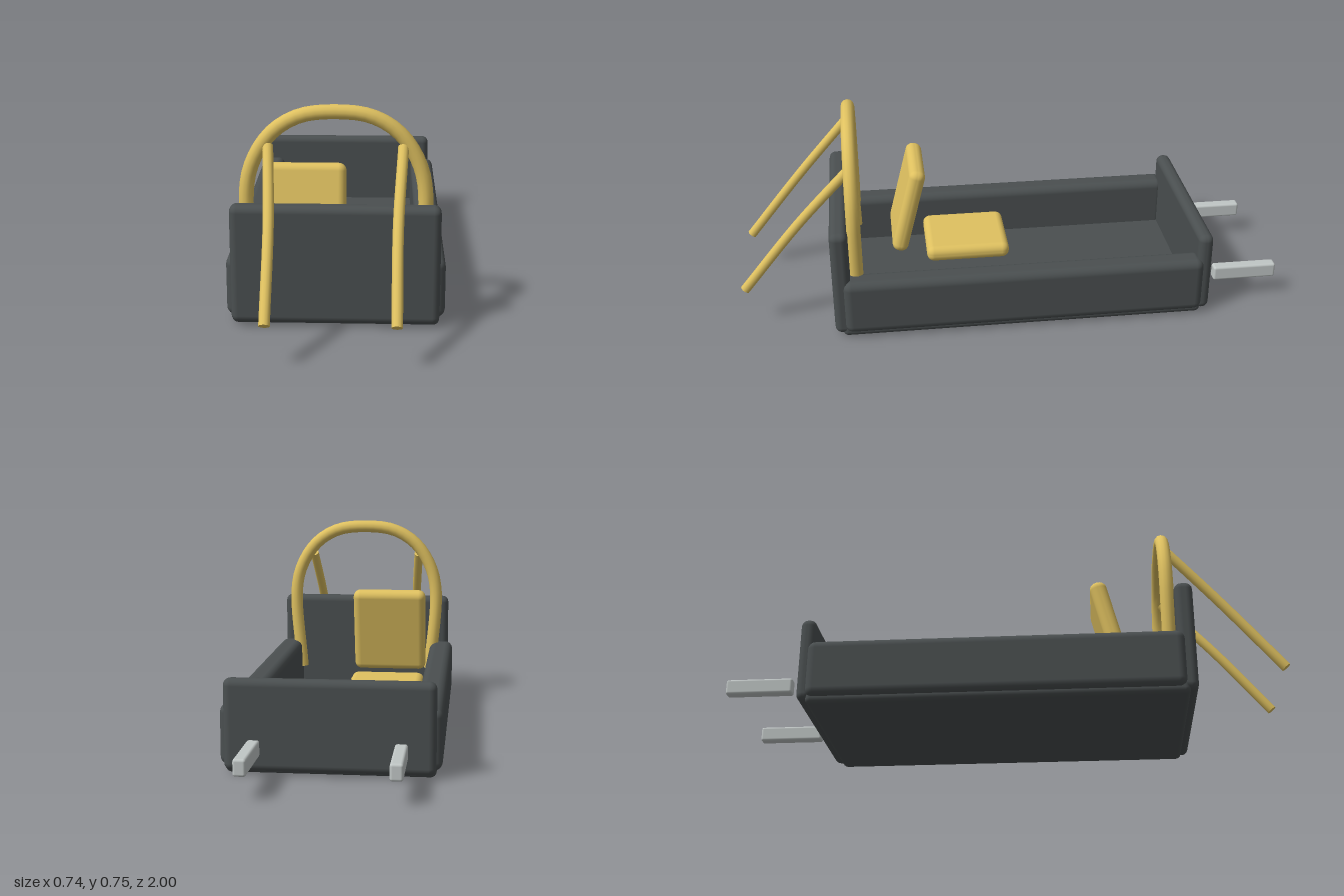
import * as THREE from 'three';
import { RoundedBoxGeometry } from 'three/addons/geometries/RoundedBoxGeometry.js';

function material(name, color) {
  const m = new THREE.MeshStandardMaterial({ color });
  m.name = name;
  return m;
}

// Rounded box centred at (x, y, z)
function box(name, mat, [w, h, d], [x, y, z], radius) {
  const mesh = new THREE.Mesh(new RoundedBoxGeometry(w, h, d, 3, radius), mat);
  mesh.position.set(x, y, z);
  mesh.name = name;
  return mesh;
}

// Bent tube with closed ends
function bar(name, mat, points, radius, segments) {
  const curve = new THREE.CatmullRomCurve3(points.map((p) => new THREE.Vector3(...p)));
  const group = new THREE.Group();
  group.name = name;
  const tube = new THREE.Mesh(new THREE.TubeGeometry(curve, segments, radius, 12), mat);
  tube.name = name + 'Tube';
  group.add(tube);
  for (const t of [0, 1]) {
    const cap = new THREE.Mesh(new THREE.CircleGeometry(radius, 12), mat);
    const end = curve.getPoint(t);
    cap.position.copy(end);
    cap.lookAt(end.clone().addScaledVector(curve.getTangent(t), t ? 1 : -1));
    cap.name = name + 'Cap';
    group.add(cap);
  }
  return group;
}

export function createModel() {
  const model = new THREE.Group();
  model.name = 'vehicleTub';
  const dark = material('darkGrey', 0x4a4f50);
  const yellow = material('yellow', 0xdfc160);
  const steel = material('lightGrey', 0xc0c6c5);

  // Open tub
  model.add(
    box('floor', dark, [0.7, 0.05, 1.33], [0, 0.026, -0.025], 0.02),
    box('frontPanel', dark, [0.7, 0.41, 0.065], [0, 0.219, 0.635], 0.025),
    box('rearPanel', dark, [0.7, 0.31, 0.055], [0, 0.17, -0.695], 0.025),
  );

  // Side walls, rear pins and front stays, mirrored
  for (const [side, s] of [['left', 1], ['right', -1]]) {
    model.add(
      box(side + 'Wall', dark, [0.095, 0.21, 1.32], [s * 0.322, 0.127, -0.03], 0.03),
      box(side + 'RearPin', steel, [0.042, 0.056, 0.24], [s * 0.24, 0.107, -0.88], 0.009),
      bar(side + 'FrontStay', yellow, [
        [s * 0.223, 0.612, 0.59],
        [s * 0.207, 0.405, 0.775],
        [s * 0.204, 0.143, 0.988],
      ], 0.018, 20),
    );
  }

  // Roll hoop
  const half = [[0.275, 0.12], [0.298, 0.45], [0.273, 0.56], [0.21, 0.655], [0.12, 0.71]];
  const hoop = [
    ...half.map(([x, y]) => [-x, y, 0.58]),
    [0, 0.725, 0.58],
    ...half.map(([x, y]) => [x, y, 0.58]).reverse(),
  ];
  model.add(bar('rollHoop', yellow, hoop, 0.025, 48));

  // Seat, offset to one side
  const back = box('seatBack', yellow, [0.292, 0.345, 0.062], [-0.118, 0.317, 0.374], 0.028);
  back.rotation.x = -0.25;
  model.add(back, box('seatCushion', yellow, [0.292, 0.062, 0.32], [-0.118, 0.125, 0.15], 0.028));

  return model;
}
